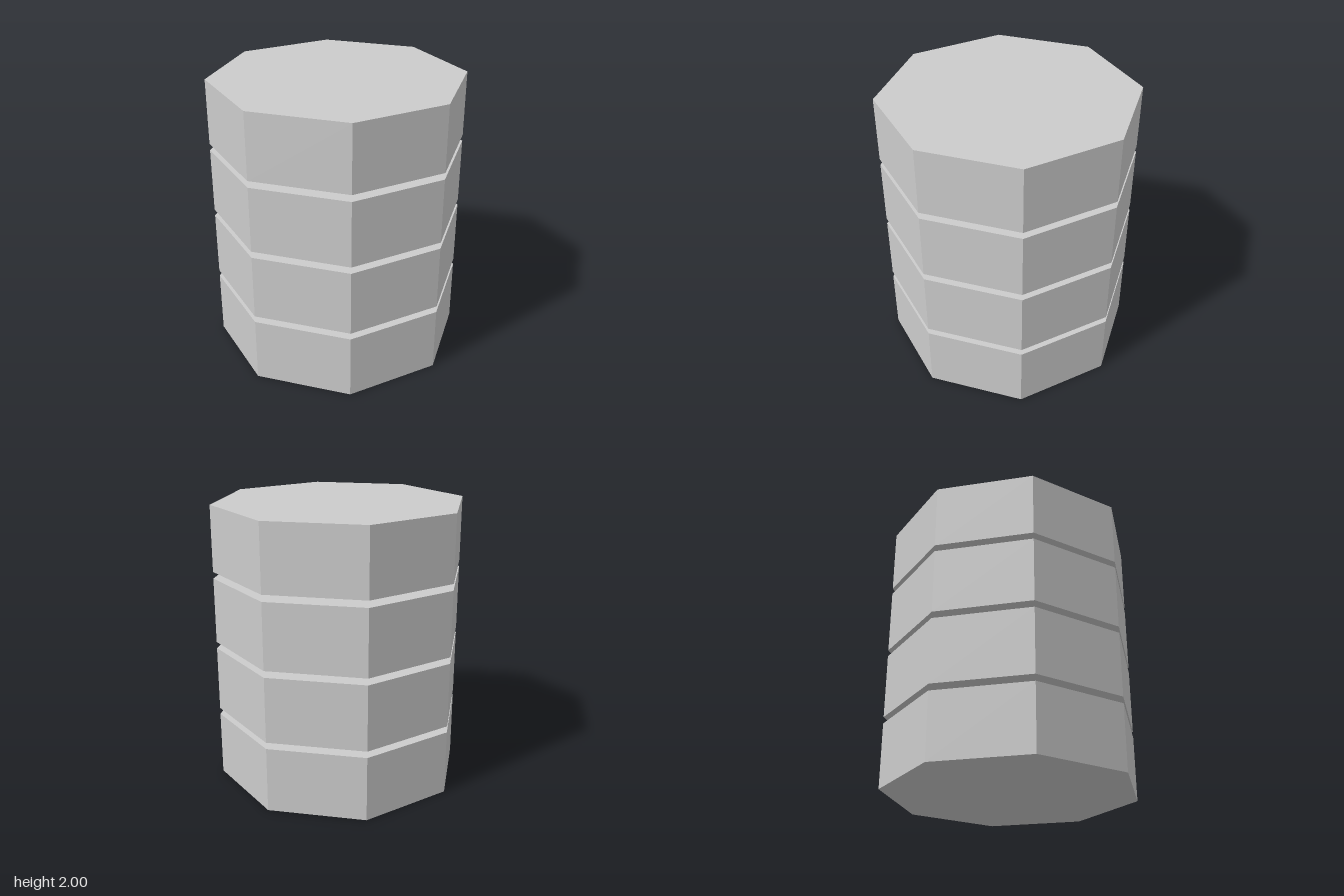
import * as THREE from 'three';

const LAYERS = 4;
const RADIUS = 0.893;
const HEIGHT = 0.465;
const PITCH = (2 - HEIGHT) / (LAYERS - 1);
const TURN = THREE.MathUtils.degToRad(27);

export function createModel() {
  const group = new THREE.Group();
  group.name = 'octagonalStack';
  const material = new THREE.MeshStandardMaterial({ color: 0xcccccc, flatShading: true });

  // One solid octagonal slab, turned so its corners sit off the axes
  const slab = new THREE.CylinderGeometry(RADIUS, RADIUS, HEIGHT, 8, 1, false, TURN);

  // Equal slabs stacked with narrow open gaps between them
  for (let i = 0; i < LAYERS; i++) {
    const mesh = new THREE.Mesh(slab, material);
    mesh.name = `slab${i + 1}`;
    mesh.position.y = HEIGHT / 2 + i * PITCH;
    group.add(mesh);
  }
  return group;
}
